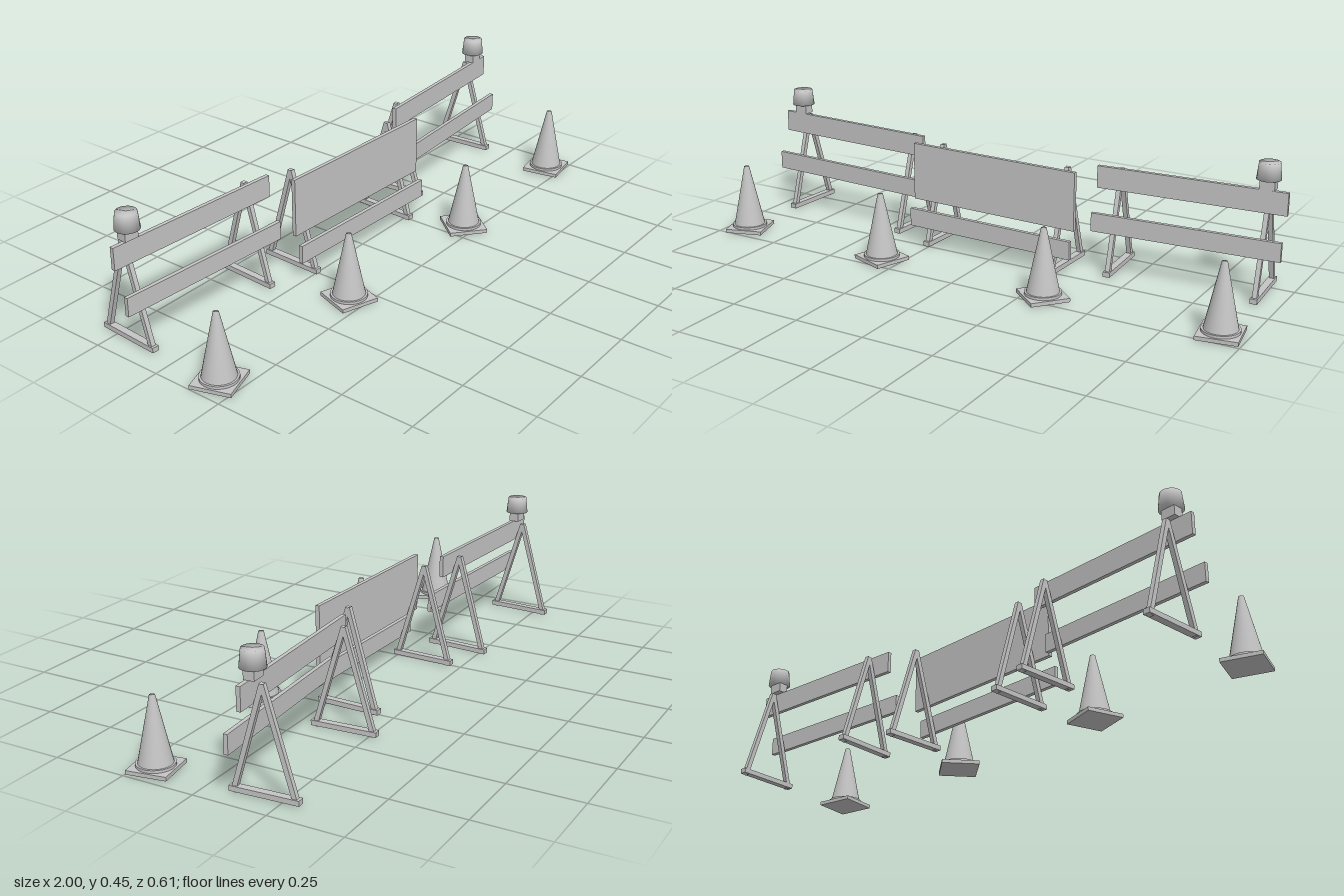
import * as THREE from 'three';

const deg = Math.PI / 180;

export function createModel() {
  const model = new THREE.Group();
  model.name = 'roadBarriers';
  const grey = new THREE.MeshStandardMaterial({ color: 0xc4c4c4 });
  grey.name = 'plainGrey';

  const add = (parent, name, geometry, x, y, z) => {
    const mesh = new THREE.Mesh(geometry, grey);
    mesh.name = name;
    mesh.position.set(x, y, z);
    parent.add(mesh);
    return mesh;
  };
  const box = (parent, name, w, h, d, x, y, z) =>
    add(parent, name, new THREE.BoxGeometry(w, h, d), x, y, z);
  // Smooth turned shape from [radius, height] pairs, bottom to top
  const turned = (parent, name, profile, x, y, z) =>
    add(parent, name, new THREE.LatheGeometry(profile.map(p => new THREE.Vector2(...p)), 32), x, y, z);

  // A-frame: two crossing legs on a foot bar
  const addFrame = (parent, x) => {
    const frame = new THREE.Group();
    frame.name = 'aFrame';
    frame.position.x = x;
    box(frame, 'footBar', 0.024, 0.017, 0.228, 0, 0.0125, 0);
    for (const side of [1, -1]) {
      const leg = box(frame, side > 0 ? 'frontLeg' : 'backLeg', 0.016, 0.363, 0.016, 0, 0.1765, side * 0.051);
      leg.rotation.x = -side * 16.4 * deg;
    }
    parent.add(frame);
  };

  // Barrier: two A-frames carrying planks given as [height, centre y, z]
  const addBarrier = (name, x, z, angle, planks) => {
    const barrier = new THREE.Group();
    barrier.name = name;
    barrier.position.set(x, 0, z);
    barrier.rotation.y = angle * deg;
    addFrame(barrier, -0.251);
    addFrame(barrier, 0.251);
    planks.forEach(([h, y, pz], i) =>
      box(barrier, i ? 'lowerPlank' : 'upperPlank', 0.643, h, 0.014, 0, y, pz));
    model.add(barrier);
  };

  const sidePlanks = [[0.076, 0.325, 0.036], [0.064, 0.18, 0.082]];
  addBarrier('rightBarrier', -0.664, -0.1775, -3.5, sidePlanks);
  addBarrier('leftBarrier', 0.664, -0.1775, 3.5, sidePlanks);
  addBarrier('middleBarrier', 0, -0.094, -2, [[0.203, 0.262, 0.073], [0.064, 0.1, 0.1]]);

  // Warning lamps on the outer ends
  for (const side of [1, -1]) {
    const lamp = new THREE.Group();
    lamp.name = 'warningLamp';
    lamp.position.set(side * 0.917, 0, -0.165);
    lamp.rotation.y = side * 3.5 * deg;
    box(lamp, 'lampBase', 0.05, 0.034, 0.036, 0, 0.381, 0);
    turned(lamp, 'lampCap', [[0, 0], [0.04, 0], [0.034, 0.056], [0, 0.056]], 0, 0.397, 0);
    model.add(lamp);
  }

  // Traffic cones: [x, z, turn]
  const cones = [[-0.917, 0.178, 18], [-0.32, 0.19, -19], [0.32, 0.206, -40], [0.918, 0.19, 9.5]];
  for (const [x, z, turn] of cones) {
    const cone = new THREE.Group();
    cone.name = 'trafficCone';
    cone.position.set(x, 0, z);
    cone.rotation.y = turn * deg;
    box(cone, 'conePlate', 0.134, 0.013, 0.134, 0, 0.0095, 0);
    add(cone, 'coneCollar', new THREE.CylinderGeometry(0.061, 0.061, 0.01, 32), 0, 0.02, 0);
    turned(cone, 'coneBody', [[0.055, 0], [0.009, 0.219], [0, 0.219]], 0, 0.021, 0);
    model.add(cone);
  }
  return model;
}
